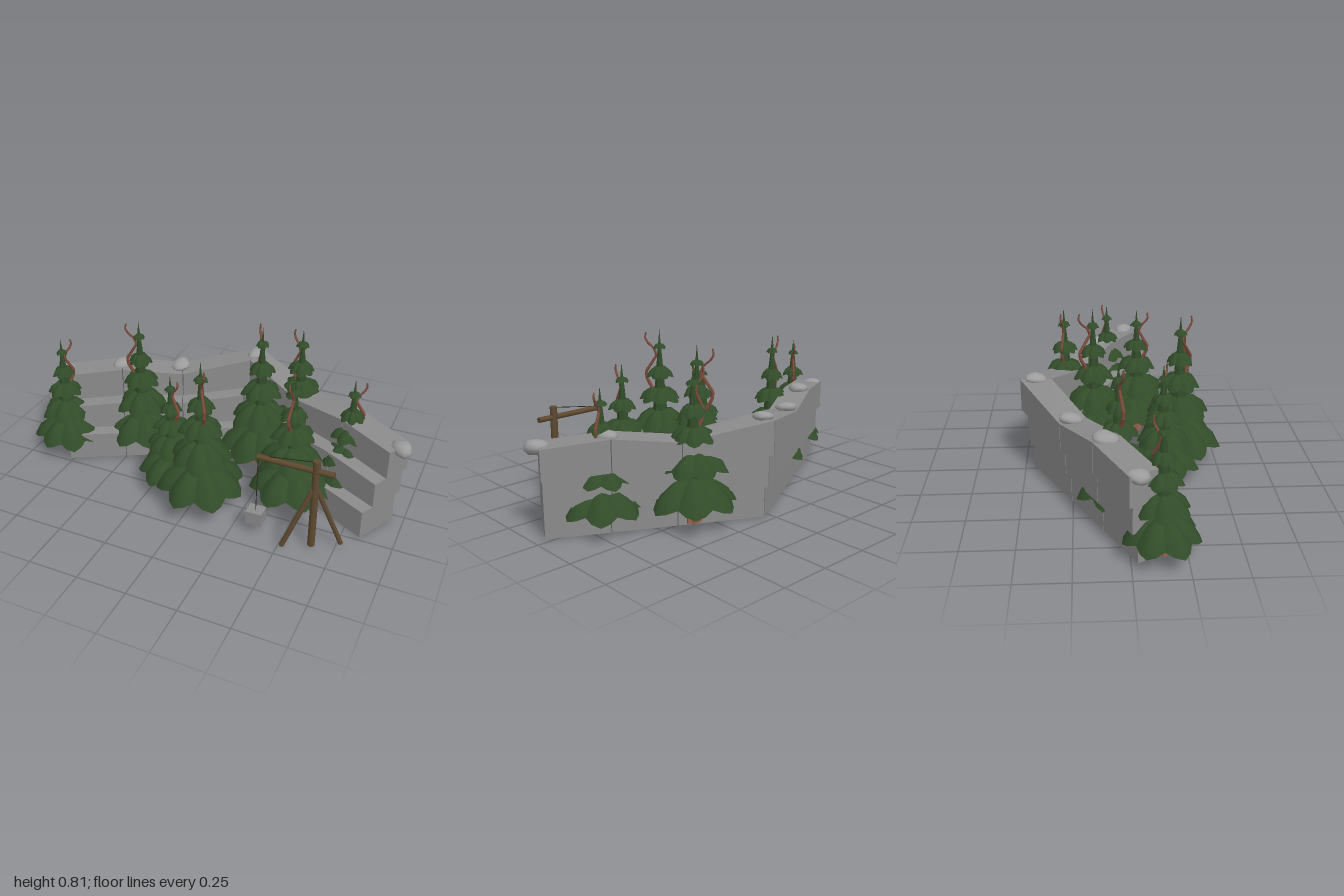
import * as THREE from 'three';
import { ConvexGeometry } from 'three/addons/geometries/ConvexGeometry.js';
import { mergeVertices } from 'three/addons/utils/BufferGeometryUtils.js';

const V = (x, y, z) => new THREE.Vector3(x, y, z);
const material = (name, color) => {
  const m = new THREE.MeshStandardMaterial({ color });
  m.name = name;
  return m;
};

export function createModel() {
  const model = new THREE.Group();
  const stone = material('wall stone', 0x8b8b8b);
  const joint = material('dark joint', 0x5a5a5a);
  const boulder = material('pale rock', 0x9c9c9c);
  const leaf = material('dark green foliage', 0x314c29);
  const bark = material('red brown bark', 0x96604a);
  const twig = material('dark red twig', 0x7c4c3c);
  const timber = material('weathered timber', 0x5e4a30);
  const cord = material('rope', 0x2c2620);

  const add = (parent, name, geometry, mat) => {
    const mesh = new THREE.Mesh(geometry, mat);
    mesh.name = name;
    parent.add(mesh);
    return mesh;
  };
  const flat = (g) => {
    const f = g.toNonIndexed();
    f.computeVertexNormals();
    return f;
  };
  // straight round pole between two points
  const pole = (parent, name, a, b, r, mat, sides = 8, rTop = r) => {
    const mesh = add(parent, name, new THREE.CylinderGeometry(rTop, r, a.distanceTo(b), sides), mat);
    mesh.position.copy(a).lerp(b, 0.5);
    mesh.quaternion.setFromUnitVectors(V(0, 1, 0), b.clone().sub(a).normalize());
  };

  // Bent wall: two mirrored arms of three stepped courses
  const cx = 0.035;
  const seams = [0, 0.41, 0.71, 1];
  const heights = [[0, 0, 0, 0], [0.155, 0.15, 0.15, 0.15], [0.32, 0.285, 0.3, 0.285], [0.49, 0.42, 0.46, 0.437]];
  const courses = [
    { apex: -0.455, dx: 0.908, endZ: 0.03, width: 0.227 },
    { apex: -0.48, dx: 0.923, endZ: 0.005, width: 0.19 },
    { apex: -0.51, dx: 0.938, endZ: -0.01, width: 0.14 },
  ];
  const block = (side, c, k, gap, inset) => {
    const { apex, dx, endZ, width } = courses[c];
    const len = Math.hypot(dx, endZ - apex);
    const nx = -(endZ - apex) / len, nz = dx / len;
    const pts = [];
    for (const e of [0, 1]) {
      const j = k + e;
      const t = j === 3 ? 1 - inset : seams[j] + (e ? -gap : gap);
      const corner = j === 0;
      for (const w of [inset, width - inset]) {
        // the corner blocks are mitred on the centre line
        const x = corner ? gap : dx * t + nx * w;
        const z = corner ? apex + w / nz + (endZ - apex) * gap : apex + (endZ - apex) * t + nz * w;
        pts.push(V(cx + side * x, heights[c][j] + (c ? gap : 0) + inset, z));
        pts.push(V(cx + side * x, heights[c + 1][j] - gap - inset * 2, z));
      }
    }
    return new ConvexGeometry(pts);
  };
  const wall = new THREE.Group();
  wall.name = 'wall';
  model.add(wall);
  for (const side of [1, -1]) for (let c = 0; c < 3; c++) for (let k = 0; k < 3; k++) {
    add(wall, 'wallBlock', block(side, c, k, 0.002, 0), stone);
    add(wall, 'wallCore', block(side, c, k, 0, 0.004), joint);
  }

  // Rounded rocks along the wall top: x, y, z, half sizes, turn
  const rocks = [
    [0.035, 0.493, -0.43, 0.043, 0.024, 0.055, 0.1], [-0.325, 0.435, -0.25, 0.046, 0.026, 0.056, 0.4],
    [-0.595, 0.46, -0.1, 0.05, 0.032, 0.06, -0.2], [-0.865, 0.42, 0.03, 0.05, 0.03, 0.055, 0.6],
    [0.948, 0.43, 0.05, 0.048, 0.035, 0.056, 0.5], [0.68, 0.455, -0.1, 0.045, 0.028, 0.055, 0.2],
  ];
  rocks.forEach(([x, y, z, a, b, c, turn], i) => {
    let g = new THREE.IcosahedronGeometry(1, 1);
    g.deleteAttribute('uv');
    g.deleteAttribute('normal');
    g = mergeVertices(g);
    const p = g.attributes.position;
    for (let n = 0; n < p.count; n++) {
      const s = 1 + 0.16 * Math.sin(3 * p.getX(n) + i) * Math.cos(2.5 * p.getZ(n) + 2 * i);
      p.setXYZ(n, p.getX(n) * a * s, p.getY(n) * b * s, p.getZ(n) * c * s);
    }
    g.computeVertexNormals();
    const rock = add(wall, 'rock', g, boulder);
    rock.position.set(x, y, z);
    rock.rotation.set(0.12, turn, 0.1);
  });

  // Domed ring of seven broad drooping boughs, closed underneath;
  // each bough has its own smooth surface, so creases run between them
  const skirt = (R, low, high, turn) => {
    const n = 7, cols = 5, pos = [], idx = [];
    const radius = [0.12, 0.5, 0.83, 1.03, 1.03, 0.12];
    const notch = [0, 0.03, 0.1, 0.19, 0.19, 0];
    const level = [1, 0.9, 0.56, 0.02, 0.02, 0.5];
    const lift = [0, -0.12, -0.12, 0.2, 0.2, 0];
    for (let k = 0; k < n; k++) {
      const start = pos.length / 3;
      const droop = 0.05 * Math.sin(k * 2.4 + turn * 5);
      for (let row = 0; row < 6; row++) for (let i = 0; i < cols; i++) {
        const u = i / (cols - 1) * 2 - 1;
        const side = Math.abs(u) ** 1.3;
        const r = R * (radius[row] - notch[row] * side + (row > 1 && row < 5 ? droop * (1 - side) : 0));
        const y = low + (high - low) * (level[row] + lift[row] * side);
        const a = turn + (k + u / 2) / n * Math.PI * 2;
        pos.push(r * Math.cos(a), y, r * Math.sin(a));
        if (row !== 3 && row < 5 && i < cols - 1) {
          const p = start + row * cols + i;
          idx.push(p, p + 1, p + cols, p + 1, p + cols + 1, p + cols);
        }
      }
    }
    const g = new THREE.BufferGeometry();
    g.setAttribute('position', new THREE.Float32BufferAttribute(pos, 3));
    g.setIndex(idx);
    g.computeVertexNormals();
    return g;
  };

  // Trees: x, z, height, crown radius, offset of the crooked branch
  const trees = [
    [-0.82, 0.135, 0.67, 0.178, 0.035, -0.04], [-0.455, -0.035, 0.765, 0.187, -0.065, 0.02],
    [-0.165, 0.195, 0.635, 0.178, 0.05, 0.02], [0.045, 0.295, 0.812, 0.213, 0.045, 0.06],
    [0.18, -0.14, 0.812, 0.208, -0.04, -0.07], [0.34, -0.29, 0.765, 0.212, -0.05, -0.015],
    [0.44, 0.1, 0.722, 0.21, -0.01, 0.06], [0.68, -0.055, 0.675, 0.192, 0.05, -0.025],
  ];
  // radius share, low and high share of the height
  const tiers = [[1, 0.13, 0.32], [0.72, 0.34, 0.48], [0.5, 0.53, 0.625], [0.32, 0.685, 0.76], [0.16, 0.87, 0.905]];
  const bend = [[0.1, 0.45], [0.5, 0.6], [1, 0.71], [0.2, 0.84], [1, 0.93], [0.95, 0.975]];
  trees.forEach(([x, z, h, R, bx, bz], t) => {
    const tree = new THREE.Group();
    tree.name = 'tree';
    tree.position.set(x, 0, z);
    model.add(tree);
    tiers.forEach(([r, low, high], i) => add(tree, 'boughs', skirt(R * r, low * h, high * h, t * 0.9 + i * 0.45), leaf));
    const spire = add(tree, 'spire', flat(new THREE.ConeGeometry(0.052, h * 0.7, 7)), leaf);
    spire.position.y = h * 0.65;

    // trunk flaring into roots
    const trunkG = new THREE.CylinderGeometry(0.1 * R, 0.16 * R, 0.28 * h, 15, 4);
    const p = trunkG.attributes.position;
    for (let i = 0; i < p.count; i++) {
      const f = Math.max(0, -p.getY(i) / (0.14 * h));
      const a = Math.atan2(p.getZ(i), p.getX(i));
      const s = 1 + f * 0.25 * Math.cos(5 * a);
      p.setX(i, p.getX(i) * s);
      p.setZ(i, p.getZ(i) * s);
    }
    add(tree, 'trunk', flat(trunkG), bark).position.y = 0.012 + 0.14 * h;

    // bare crooked branch made of tapering lengths
    const pts = new THREE.CatmullRomCurve3(bend.map(([f, y]) => V(bx * f, y * h, bz * f))).getPoints(12);
    const thick = (i) => 0.011 - i * 0.0006;
    for (let i = 0; i < 12; i++) {
      pole(tree, 'crookedBranch', pts[i], pts[i + 1], thick(i), twig, 6, thick(i + 1));
    }
  });

  // Timber hoist with a hanging stone
  const hoist = new THREE.Group();
  hoist.name = 'hoist';
  model.add(hoist);
  const z = 0.383;
  pole(hoist, 'post', V(0.645, 0.012, z), V(0.645, 0.49, z), 0.018, timber);
  pole(hoist, 'beam', V(0.365, 0.437, z), V(0.73, 0.437, z), 0.014, timber);
  for (const s of [1, -1]) {
    pole(hoist, 'brace', V(0.645 + s * 0.01, 0.33, z - s * 0.006), V(0.645 + s * 0.125, 0.014, z - s * 0.063), 0.012, timber);
  }
  pole(hoist, 'stayRope', V(0.645, 0.485, z), V(0.37, 0.442, z), 0.002, cord, 5);
  pole(hoist, 'hangingRope', V(0.37, 0.437, z), V(0.365, 0.125, z), 0.002, cord, 5);
  add(hoist, 'hangingStone', new THREE.BoxGeometry(0.08, 0.07, 0.07), stone).position.set(0.363, 0.092, 0.378);

  return model;
}
